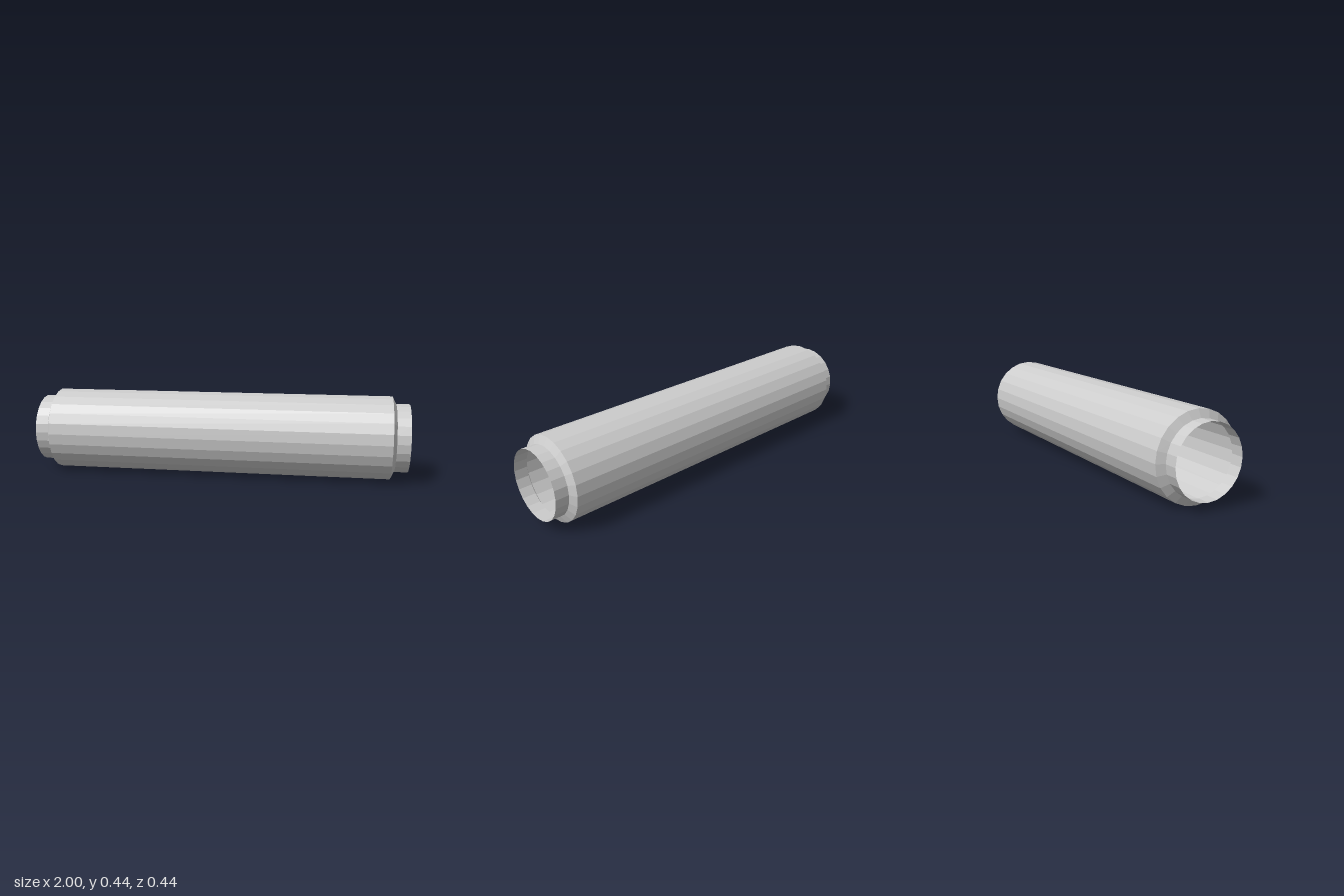
import * as THREE from 'three';

const AXIS_Y = 0.22;
const SIDES = 24;

// Open shell turned around the x axis from [x, radius] pairs running towards +x
function turned(name, profile, material) {
  const points = profile.map(([x, r]) => new THREE.Vector2(r, x));
  const geometry = new THREE.LatheGeometry(points, SIDES);
  geometry.rotateZ(-Math.PI / 2);
  const mesh = new THREE.Mesh(geometry, material);
  mesh.name = name;
  mesh.position.y = AXIS_Y;
  return mesh;
}

export function createModel() {
  const model = new THREE.Group();
  model.name = 'hollowTube';

  const grey = new THREE.MeshStandardMaterial({
    color: 0xcccccc, flatShading: true, side: THREE.DoubleSide,
  });
  grey.name = 'light grey';

  // Wide casing with chamfered ends
  model.add(turned('casing', [[-0.93, 0.18], [-0.91, 0.22], [0.91, 0.22], [0.93, 0.18]], grey));

  // Narrow open collars at both ends
  model.add(turned('rightCollar', [[-1, 0.18], [-0.93, 0.18]], grey));
  model.add(turned('leftCollar', [[0.93, 0.18], [1, 0.18]], grey));

  // Four small balls inside the casing
  const ball = new THREE.IcosahedronGeometry(0.023, 1);
  for (const y of [-0.12, 0.12]) {
    for (const z of [-0.12, 0.12]) {
      const mesh = new THREE.Mesh(ball, grey);
      mesh.name = 'innerBall';
      mesh.position.set(0, AXIS_Y + y, z);
      model.add(mesh);
    }
  }

  return model;
}
